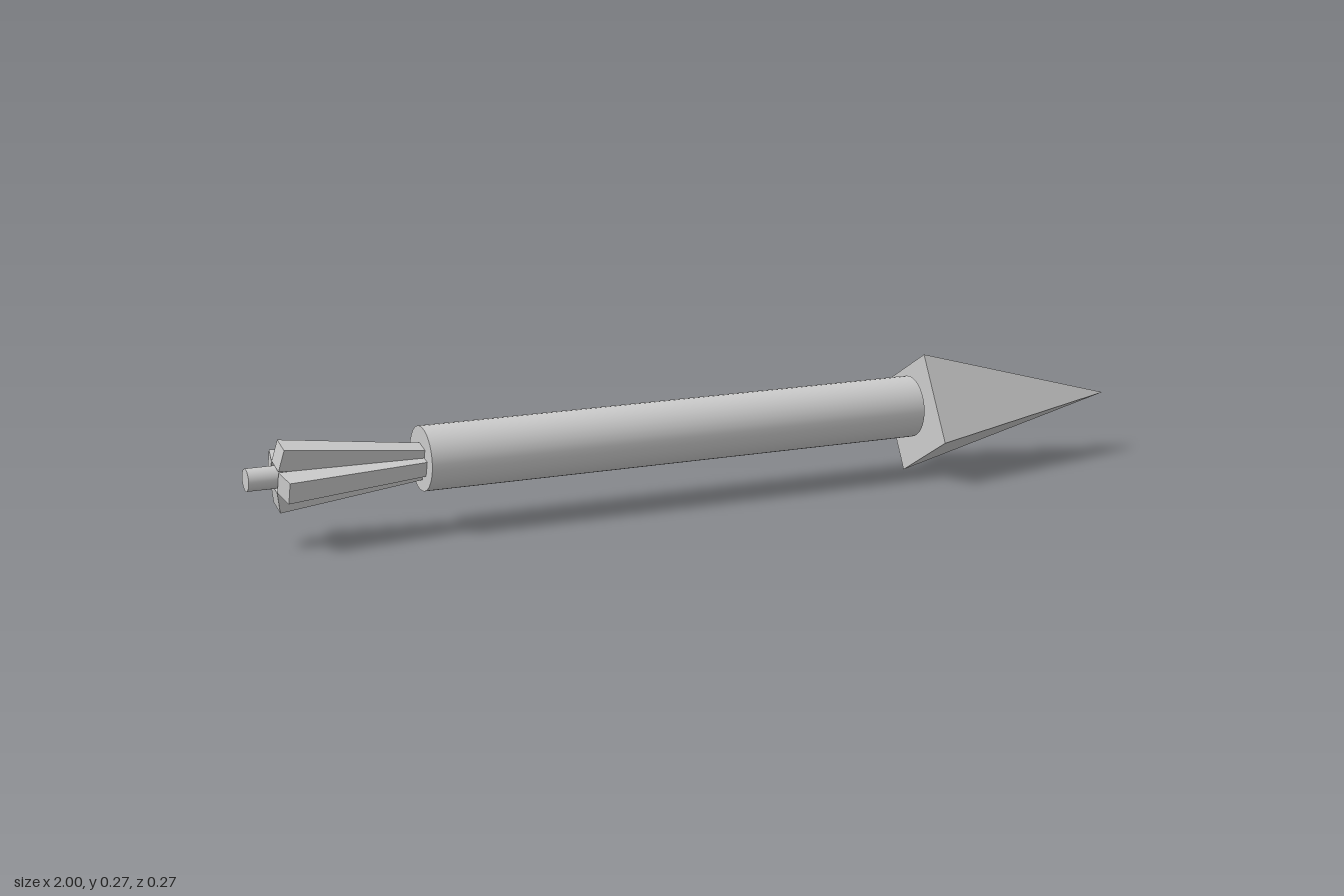
import * as THREE from 'three';

const TWIST = 0.285; // roll of the head and fins about the long axis

export function createModel() {
  const model = new THREE.Group();
  const smooth = new THREE.MeshStandardMaterial({ color: 0xcccccc });
  const flat = new THREE.MeshStandardMaterial({ color: 0xcccccc, flatShading: true });

  const add = (name, geometry, material, x, y, z) => {
    const mesh = new THREE.Mesh(geometry, material);
    mesh.name = name;
    mesh.position.set(x, y, z);
    model.add(mesh);
    return mesh;
  };

  // Round bar lying along x between two stations
  const bar = (name, radius, x0, x1, y, z) => {
    const geometry = new THREE.CylinderGeometry(radius, radius, x1 - x0, 32);
    geometry.rotateZ(-Math.PI / 2);
    return add(name, geometry, smooth, (x0 + x1) / 2, y, z);
  };

  // Four-sided pointed head
  const head = new THREE.ConeGeometry(0.143, 0.492, 4);
  head.rotateZ(-Math.PI / 2);
  head.rotateX(TWIST);
  add('head', head, flat, 0.754, 0.138, 0);

  // Shaft and the thin rod behind it
  bar('shaft', 0.067, -0.635, 0.498, 0.153, -0.003);
  bar('tailRod', 0.023, -1, -0.6, 0.147, -0.003);

  // Fins: tapered blocks that flare outward towards the tail
  const finGeometry = () => {
    const geometry = new THREE.BoxGeometry(1, 1, 1);
    const p = geometry.attributes.position;
    for (let i = 0; i < p.count; i++) {
      const tail = p.getX(i) < 0;
      const outer = p.getY(i) > 0;
      const side = Math.sign(p.getZ(i));
      if (tail) p.setXYZ(i, outer ? -0.932 : -0.941, outer ? 0.071 : 0.024, side * 0.023);
      else p.setXYZ(i, -0.625, outer ? 0.033 : 0.002, side * 0.016);
    }
    geometry.computeVertexNormals();
    return geometry;
  };
  for (let k = 0; k < 4; k++) {
    const fin = add('fin' + (k + 1), finGeometry(), flat, 0, 0.147, -0.003);
    fin.rotation.x = TWIST + (k * Math.PI) / 2;
  }

  return model;
}
